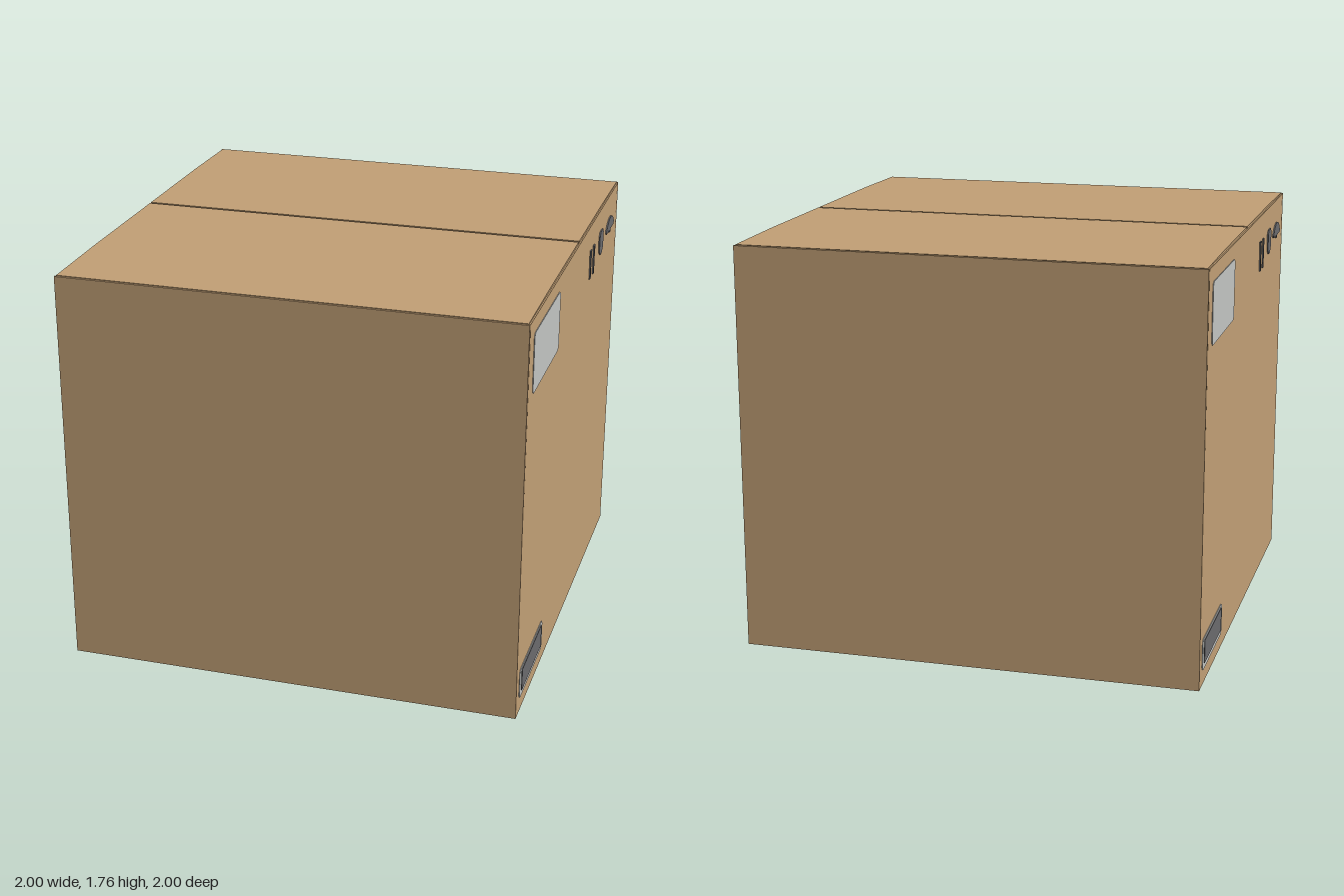
import * as THREE from 'three';

const cardboard = new THREE.MeshStandardMaterial({ color: 0xc19f75 });
cardboard.name = 'cardboard';
const paper = new THREE.MeshStandardMaterial({ color: 0xc2c4c2 });
paper.name = 'label paper';
const ink = new THREE.MeshStandardMaterial({ color: 0x6a6a6d });
ink.name = 'grey ink';

function box(name, w, h, d, x, y, z) {
  const m = new THREE.Mesh(new THREE.BoxGeometry(w, h, d), cardboard);
  m.name = name;
  m.position.set(x, y, z);
  return m;
}

// Flat shape facing +x; the shape's horizontal axis runs towards -z
function sidePlate(name, shape, material, inner, outer) {
  const geo = new THREE.ExtrudeGeometry(shape, { depth: outer - inner, bevelEnabled: false, curveSegments: 8 });
  geo.translate(0, 0, inner).rotateY(Math.PI / 2);
  const m = new THREE.Mesh(geo, material);
  m.name = name;
  return m;
}

function polygon(points) {
  return new THREE.Shape(points.map(([u, v]) => new THREE.Vector2(u, v)));
}

function roundedRect(u0, v0, u1, v1, r) {
  const s = new THREE.Shape();
  s.absarc(u1 - r, v0 + r, r, -Math.PI / 2, 0);
  s.absarc(u1 - r, v1 - r, r, 0, Math.PI / 2);
  s.absarc(u0 + r, v1 - r, r, Math.PI / 2, Math.PI);
  s.absarc(u0 + r, v0 + r, r, Math.PI, Math.PI * 1.5);
  return s;
}

// One side wall with its labels and printed handling marks
function createSide() {
  const side = new THREE.Group();
  const wall = polygon([[-0.99, 0], [0.99, 0], [0.99, 1.43], [0.984, 1.755], [-0.984, 1.755], [-0.99, 0.96]]);
  side.add(sidePlate('sideWall', wall, cardboard, 0.98, 0.994));

  const label = (name, shape) => side.add(sidePlate(name, shape, paper, 0.992, 0.997));
  const print = (name, shape) => side.add(sidePlate(name, shape, ink, 0.992, 1.0));

  label('shippingLabel', roundedRect(-0.905, 1.43, -0.387, 1.69, 0.025));
  label('barcodeLabel', roundedRect(-0.95, 0.065, -0.495, 0.205, 0.025));
  print('barcodePanel', roundedRect(-0.918, 0.09, -0.525, 0.193, 0.006));

  // Upright arrows: small head over two fine lines
  for (const u of [0.307, 0.387]) {
    print('arrowHead', polygon([[u - 0.006, 1.57], [u + 0.006, 1.57], [u + 0.013, 1.64], [u - 0.013, 1.64]]));
    for (const s of [-1, 1]) {
      const c = u + s * 0.006;
      print('arrowLine', polygon([[c - 0.002, 1.505], [c + 0.002, 1.505], [c + 0.002, 1.58], [c - 0.002, 1.58]]));
    }
  }

  // Fragile glass bowl
  print('glassMark', polygon([
    [0.552, 1.54], [0.58, 1.54], [0.605, 1.56], [0.612, 1.59], [0.612, 1.635],
    [0.595, 1.653], [0.54, 1.653], [0.521, 1.635], [0.521, 1.575], [0.53, 1.555],
  ]));

  // Umbrella canopy and stub
  const canopy = new THREE.Shape();
  canopy.moveTo(0.705, 1.588);
  canopy.lineTo(0.887, 1.588);
  canopy.lineTo(0.892, 1.6);
  canopy.quadraticCurveTo(0.85, 1.65, 0.79, 1.648);
  canopy.quadraticCurveTo(0.735, 1.645, 0.693, 1.6);
  print('umbrellaCanopy', canopy);
  print('umbrellaHandle', polygon([[0.78, 1.575], [0.802, 1.575], [0.802, 1.589], [0.78, 1.589]]));
  return side;
}

// Top flap as a cross-section in z and y, very slightly raised inwards
function createFlap(name, edge, raised, seam) {
  const shape = polygon([[edge, 1.75], [seam, 1.75], [seam, 1.765], [raised, 1.765], [edge, 1.76]].map(([z, y]) => [-z, y]));
  const m = sidePlate(name, shape, cardboard, -0.988, 0.988);
  return m;
}

export function createModel() {
  const carton = new THREE.Group();
  carton.name = 'carton';

  // Closed inner body, front and back walls
  carton.add(box('innerBody', 1.96, 1.75, 1.96, 0, 0.875, 0));
  for (const [name, s] of [['frontWall', 1], ['backWall', -1]]) {
    carton.add(box(name, 1.988, 1.757, 0.01, 0, 0.8785, s * 0.995));
  }

  // The two printed sides match under a half turn
  const left = createSide();
  left.name = 'leftSide';
  const right = createSide();
  right.name = 'rightSide';
  right.rotation.y = Math.PI;
  carton.add(left, right);

  // Top flaps with a narrow seam between them
  carton.add(createFlap('frontFlap', 0.99, 0.59, -0.03));
  carton.add(createFlap('backFlap', -0.99, -0.6, -0.044));
  return carton;
}
